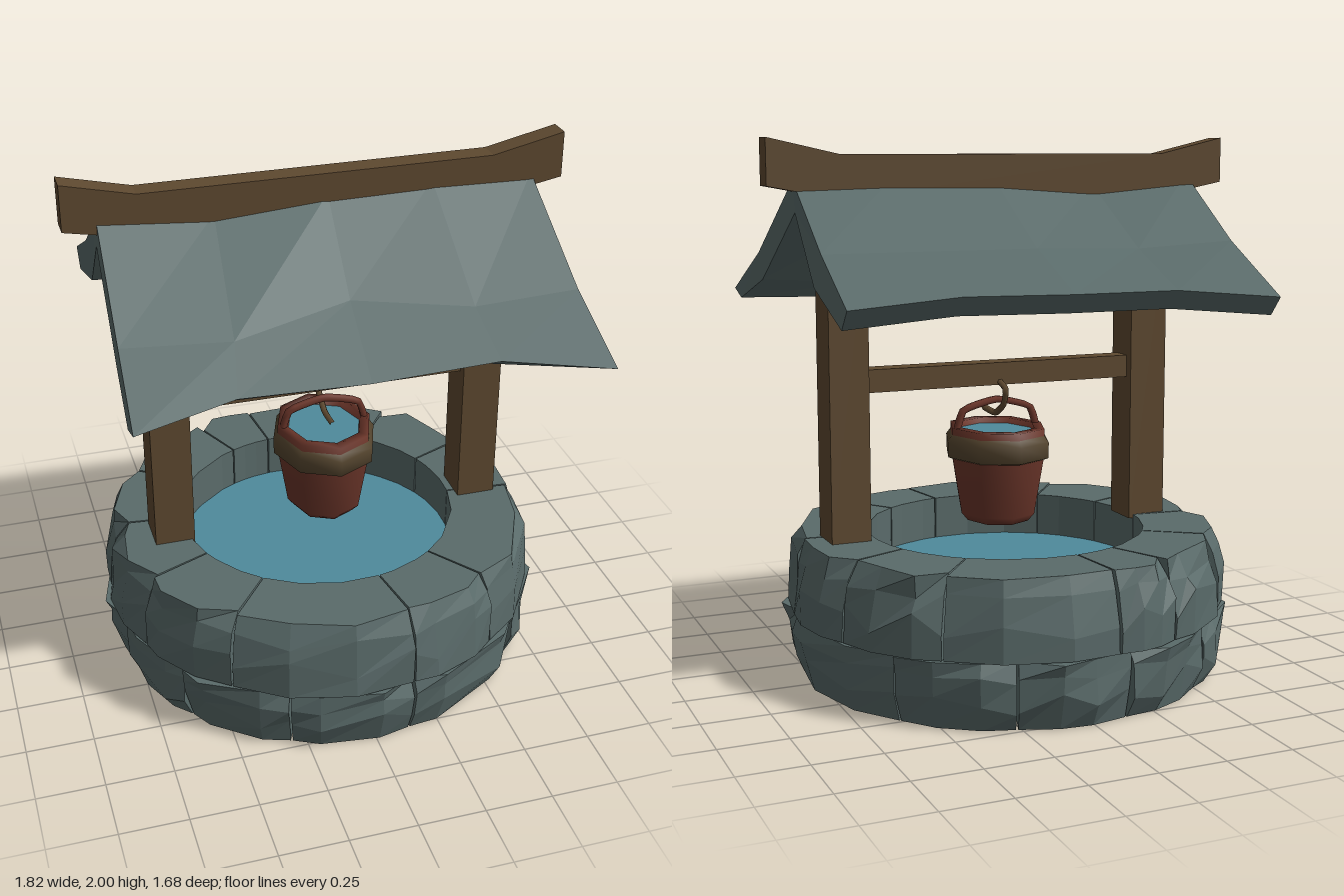
import * as THREE from 'three';

const mat = (name, color) => {
  const m = new THREE.MeshStandardMaterial({ color });
  m.name = name;
  return m;
};

// Small seeded random in -1..1
let seed = 7;
const jitter = (amount) => {
  seed = (seed * 16807) % 2147483647;
  return (seed / 2147483647 * 2 - 1) * amount;
};

// Skins a row of even-length cross-sections with flat facets and closes both ends
function loft(loops) {
  const tris = [];
  const quad = (a, b, c, d) => tris.push([a, b, c], [a, c, d]);
  const n = loops[0].length;
  for (let i = 0; i < loops.length - 1; i++) {
    for (let j = 0; j < n; j++) {
      const k = (j + 1) % n;
      quad(loops[i][j], loops[i + 1][j], loops[i + 1][k], loops[i][k]);
    }
  }
  const first = loops[0], last = loops[loops.length - 1];
  for (let j = 0; j < n / 2 - 1; j++) {
    quad(first[j], first[j + 1], first[n - 2 - j], first[n - 1 - j]);
    quad(last[n - 1 - j], last[n - 2 - j], last[j + 1], last[j]);
  }
  // Turn every face outwards, judged by the enclosed volume
  const centre = first[0];
  const rel = (p) => p.clone().sub(centre);
  const volume = tris.reduce((s, [a, b, c]) => s + rel(a).dot(rel(b).cross(rel(c))), 0);
  const points = tris.flatMap(([a, b, c]) => (volume > 0 ? [a, b, c] : [a, c, b]));
  const geo = new THREE.BufferGeometry().setFromPoints(points);
  geo.computeVertexNormals();
  return geo;
}

// One rough-cut block of a ring, between two angles measured from the front
function stoneBlock(a0, a1, y0, y1, rBottom, rMid, rTop) {
  const h = y1 - y0, gap = 0.005;
  const steps = [0, 0.28 + jitter(0.08), 0.7 + jitter(0.08), 1];
  return loft(steps.map((t, i) => {
    const a = THREE.MathUtils.lerp(a0 + gap, a1 - gap, t);
    const end = i === 0 || i === 3;
    const pull = end ? 0.015 : 0;
    const at = (r, y) => new THREE.Vector3(Math.sin(a) * r, y, Math.cos(a) * r);
    return [
      at(0.53, y0),
      at(rBottom - pull, y0),
      at(rMid - pull + jitter(0.012), y0 + h * (0.42 + jitter(0.18))),
      at((rMid + rTop) / 2 - pull + jitter(0.012), y0 + h * (0.76 + jitter(0.08))),
      at(rTop - pull * 2 + jitter(0.025), y1),
      at(0.53, y1),
    ];
  }));
}

export function createModel() {
  const model = new THREE.Group();
  model.name = 'well';
  const stone = mat('stone', 0x5a6b6a);
  const wood = mat('wood', 0x5e4930);
  const bucketRed = mat('bucketRed', 0x6c362a);
  const bandBrown = mat('bandBrown', 0x56462f);
  const waterBlue = mat('waterBlue', 0x4f8a9c);

  const add = (name, geo, material, parent = model) => {
    const mesh = new THREE.Mesh(geo, material);
    mesh.name = name;
    parent.add(mesh);
    return mesh;
  };

  // Two rings of stones, joints given in degrees
  const rings = [
    { name: 'lowerStones', y: [0, 0.245], r: [0.79, 0.825, 0.835],
      joints: [10, 51, 81, 129, 160, 190, 220, 250, 280, 307, 337] },
    { name: 'upperStones', y: [0.25, 0.535], r: [0.835, 0.83, 0.785],
      joints: [9.5, 36, 84, 113, 142, 186, 204, 235, 264, 293, 322] },
  ];
  for (const { name, y, r, joints } of rings) {
    const ring = new THREE.Group();
    ring.name = name;
    joints.forEach((deg, i) => {
      const next = i + 1 < joints.length ? joints[i + 1] : joints[0] + 360;
      const rad = THREE.MathUtils.degToRad;
      add('stoneBlock', stoneBlock(rad(deg), rad(next), ...y, ...r), stone, ring);
    });
    model.add(ring);
  }

  // Water filling the shaft
  add('water', new THREE.CylinderGeometry(0.535, 0.535, 0.34, 20), waterBlue).position.y = 0.2;

  // Posts with a pointed top that fits under the ridge
  const postShape = new THREE.Shape([
    [-0.053, 0.52], [0.102, 0.52], [0.102, 1.7], [0.025, 1.77], [-0.053, 1.7],
  ].map((p) => new THREE.Vector2(...p)));
  for (const [name, x] of [['rightPost', -0.585], ['leftPost', 0.63]]) {
    const geo = new THREE.ExtrudeGeometry(postShape, { depth: 0.15, bevelEnabled: false });
    geo.translate(0, 0, -0.075).rotateY(-Math.PI / 2);
    add(name, geo, wood).position.x = x;
  }

  // Crossbar between the posts
  add('crossbar', new THREE.BoxGeometry(1.08, 0.085, 0.085), wood).position.set(0.02, 1.122, 0.025);

  // Ridge beam with upswept ends
  const beam = [[-0.91, 1.83, 2.0], [-0.65, 1.78, 1.94], [0.64, 1.78, 1.94], [0.91, 1.83, 2.0]];
  add('ridgeBeam', loft(beam.map(([x, lo, hi]) => [
    [lo, -0.02], [lo, 0.065], [hi, 0.065], [hi, -0.02],
  ].map(([y, z]) => new THREE.Vector3(x, y, z)))), wood);

  // Sagging roof: x of front eave, ridge and back eave, ridge height,
  // then z and y of the front eave, front middle, back middle and back eave
  const roofColumns = [
    [-0.82, -0.79, -0.77, 1.86, 0.75, 1.41, 0.45, 1.57, -0.33, 1.62, -0.69, 1.44],
    [-0.46, -0.38, -0.4, 1.825, 0.66, 1.44, 0.47, 1.55, -0.33, 1.6, -0.61, 1.47],
    [0, 0.03, 0, 1.855, 0.66, 1.425, 0.36, 1.59, -0.33, 1.61, -0.61, 1.47],
    [0.46, 0.42, 0.4, 1.86, 0.66, 1.44, 0.45, 1.55, -0.33, 1.61, -0.59, 1.475],
    [0.84, 0.8, 0.82, 1.85, 0.77, 1.41, 0.46, 1.57, -0.33, 1.61, -0.64, 1.45],
  ];
  add('roof', loft(roofColumns.map(([xf, xr, xb, ry, fz, fy, mz, my, nz, ny, bz, by]) => [
    [xf, fy, fz], [(xf + xr) / 2, my, mz], [xr, ry, 0.04], [(xb + xr) / 2, ny, nz], [xb, by, bz],
    [xb, by - 0.07, bz + 0.06], [(xb + xr) / 2, ny - 0.12, nz + 0.09], [xr, ry - 0.115, 0.015],
    [(xf + xr) / 2, my - 0.1, mz - 0.05], [xf, 1.38, fz - 0.1],
  ].map((p) => new THREE.Vector3(...p)))), stone);

  // Bucket with band, water and handle, wider from front to back
  const bucket = new THREE.Group();
  bucket.name = 'bucket';
  bucket.position.set(0.025, 0, 0.018);
  bucket.scale.z = 1.19;
  model.add(bucket);
  const lathe = (points) => new THREE.LatheGeometry(points.map((p) => new THREE.Vector2(...p)), 8);
  add('bucketBody', lathe([
    [0, 0.56], [0.12, 0.56], [0.145, 0.59], [0.183, 0.82], [0.183, 0.92], [0.145, 0.92], [0.135, 0.87],
  ]), bucketRed, bucket);
  add('bucketBand', lathe([
    [0.175, 0.8], [0.198, 0.81], [0.2, 0.87], [0.182, 0.895],
  ]), bandBrown, bucket);
  add('bucketWater', new THREE.CircleGeometry(0.142, 8).rotateX(-Math.PI / 2), waterBlue, bucket)
    .position.y = 0.9;

  // Tube through straight-ish path points
  const tube = (points, radius) => new THREE.TubeGeometry(
    new THREE.CatmullRomCurve3(points.map((p) => new THREE.Vector3(...p)), false, 'catmullrom', 0.25),
    16, radius, 6);
  add('bucketHandle', tube([
    [-0.165, 0.9, 0], [-0.135, 0.985, 0], [0, 1.02, 0], [0.135, 0.985, 0], [0.165, 0.9, 0],
  ], 0.014), bucketRed, bucket);

  // Hook holding the bucket under the crossbar
  add('hook', tube([
    [0.025, 1.1, 0.02], [0.025, 1.07, -0.07], [0.025, 1.01, -0.05],
    [0.025, 0.965, 0.03], [0.025, 0.97, 0.14],
  ], 0.012), wood);

  return model;
}
